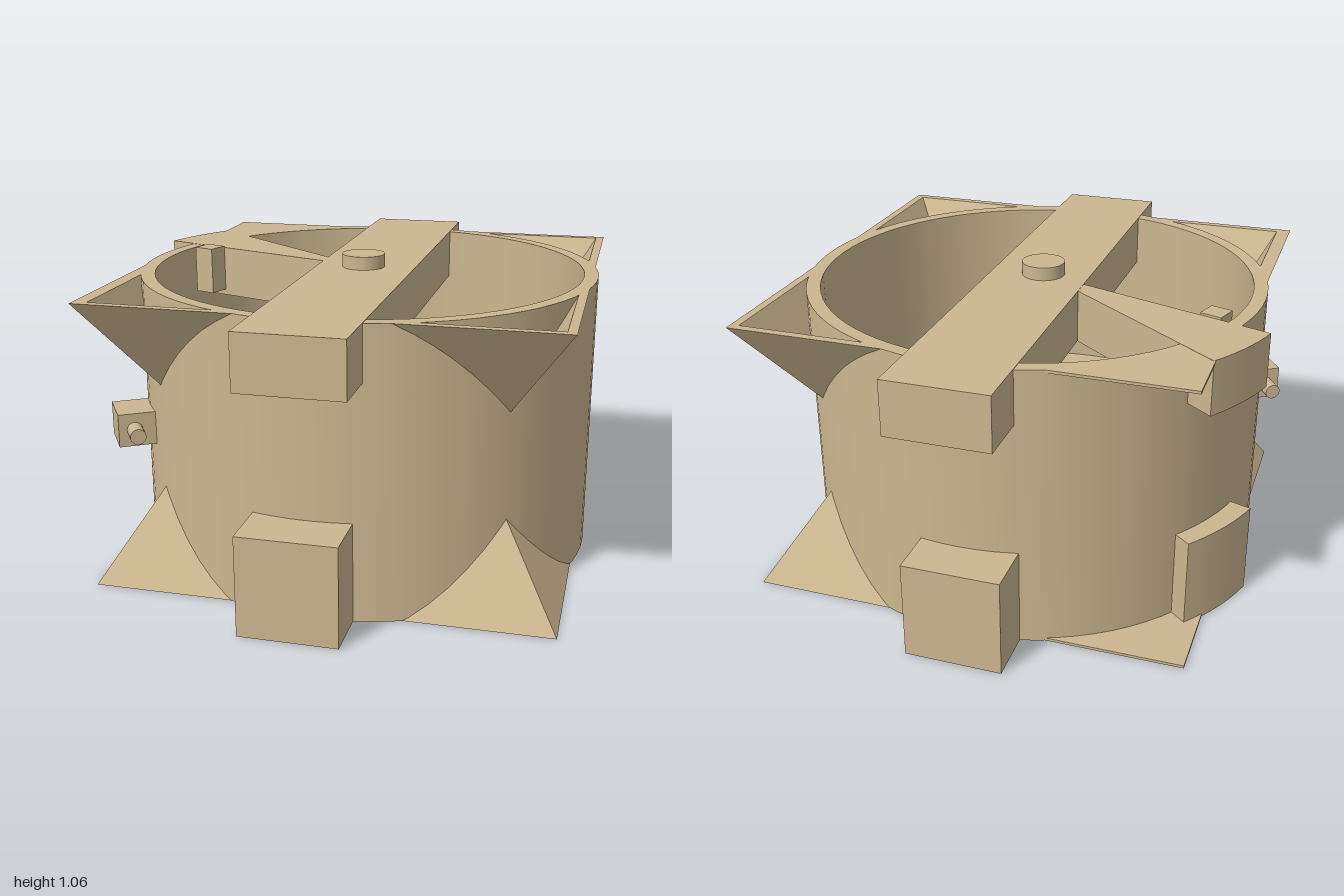
import * as THREE from 'three';
import { toCreasedNormals } from 'three/addons/utils/BufferGeometryUtils.js';

const tan = new THREE.MeshStandardMaterial({ color: 0xccb690, side: THREE.DoubleSide });
tan.name = 'tan';

const CX = 0.03, R_OUT = 0.83, R_IN = 0.78, H = 1.01;

function add(group, name, geometry, x = 0, y = 0, z = 0) {
  const mesh = new THREE.Mesh(geometry, tan);
  mesh.name = name;
  mesh.position.set(x, y, z);
  group.add(mesh);
  return mesh;
}

// Extrudes a plan-view shape (drawn as x, -z) upwards from y0 to y1
function rise(shape, y0, y1) {
  const g = new THREE.ExtrudeGeometry(shape, { depth: y1 - y0, bevelEnabled: false, curveSegments: 40 });
  g.rotateX(-Math.PI / 2);
  g.translate(0, y0, 0);
  return toCreasedNormals(g, 0.5);
}

const plan = (pts) => new THREE.Shape(pts.map(([x, z]) => new THREE.Vector2(x, -z)));

function box(group, name, x0, x1, y0, y1, z0, z1) {
  return add(group, name, new THREE.BoxGeometry(x1 - x0, y1 - y0, z1 - z0),
    (x0 + x1) / 2, (y0 + y1) / 2, (z0 + z1) / 2);
}

// Wedge arm with a curved outer end between two plan points
function wedge(inner, a, b) {
  const pts = [...inner];
  for (let i = 0; i <= 8; i++) {
    const t = i / 8;
    const ang = THREE.MathUtils.lerp(Math.atan2(a[1], a[0]), Math.atan2(b[1], b[0]), t);
    const r = THREE.MathUtils.lerp(Math.hypot(...a), Math.hypot(...b), t);
    pts.push([Math.cos(ang) * r, Math.sin(ang) * r]);
  }
  return plan(pts);
}

// Hollow half-pyramid: two sloping walls from a square corner to a tip on the drum
function cornerShell(cx, cz, rimY, tipY, insetX) {
  const sx = Math.sign(cx), sz = Math.sign(cz);
  const layer = (x, z, ty) => {
    const onX = CX + sx * Math.sqrt(0.828 ** 2 - z * z);
    const onZ = sz * Math.sqrt(0.828 ** 2 - (x - CX) ** 2);
    return {
      corner: [x, rimY, z], alongX: [onX, rimY, z], alongZ: [x, rimY, onZ],
      tip: [CX + sx * 0.6, ty, sz * 0.57],
    };
  };
  const o = layer(cx, cz, tipY);
  const n = layer(cx - sx * insetX, cz - sz * 0.03, tipY + Math.sign(rimY - tipY) * 0.04);
  const tris = [
    [o.corner, o.alongX, o.tip], [o.alongZ, o.corner, o.tip],
    [n.alongX, n.corner, n.tip], [n.corner, n.alongZ, n.tip],
    [o.corner, n.corner, n.alongX], [o.corner, n.alongX, o.alongX],
    [o.corner, o.alongZ, n.alongZ], [o.corner, n.alongZ, n.corner],
  ];
  // Keep outward winding on mirrored copies
  const flip = sx * sz * Math.sign(rimY - 0.5) < 0;
  const g = new THREE.BufferGeometry();
  g.setAttribute('position', new THREE.Float32BufferAttribute(
    tris.flatMap(([a, b, c]) => (flip ? [a, c, b] : [a, b, c])).flat(), 3));
  g.computeVertexNormals();
  return g;
}

export function createModel() {
  const model = new THREE.Group();
  model.name = 'drumFrame';

  // Open drum wall
  const ring = new THREE.Shape().absarc(CX, 0, R_OUT, 0, Math.PI * 2, false);
  ring.holes.push(new THREE.Path().absarc(CX, 0, R_IN, 0, Math.PI * 2, true));
  add(model, 'drumWall', rise(ring, 0, H));

  // Cross beams and centre knob
  box(model, 'upperBeam', -0.16, 0.2, 0.82, 1.012, -1, 1);
  box(model, 'lowerBeam', -0.17, 0.17, 0, 0.35, -0.99, 1);
  add(model, 'knob', new THREE.CylinderGeometry(0.078, 0.078, 0.06, 40), 0.01, 1.03, 0.01);

  // Third arms, widening outwards
  add(model, 'upperArm', rise(wedge([[-0.1, -0.075], [-0.1, -0.03]], [-0.86, -0.29], [-0.725, -0.56]), 0.82, 1.011));
  add(model, 'lowerArm', rise(wedge([[0.02, 0.02]], [-0.84, -0.26], [-0.68, -0.55]), 0, 0.33));

  // Hollow corners, top and bottom
  for (const [sx, sz] of [[1, 1], [1, -1], [-1, 1]]) {
    add(model, 'upperCorner', cornerShell(sx > 0 ? 0.84 : -0.78, sz * 0.79, H, 0.68, sx > 0 ? 0.03 : 0.05));
    add(model, 'lowerCorner', cornerShell(sx > 0 ? 0.83 : -0.76, sz * 0.775, 0, 0.31, 0.03));
  }

  // Flat plates on the remaining corner
  const plate = plan([[-0.73, -0.78], [-0.25, -0.78], [-0.4, -0.68], [-0.54, -0.56], [-0.66, -0.42], [-0.73, -0.3]]);
  add(model, 'upperCornerPlate', rise(plate, H - 0.01, H));
  add(model, 'lowerCornerPlate', rise(plate, 0, 0.01));

  // Small stop block beside the upper arm
  const stop = add(model, 'stopBlock', new THREE.BoxGeometry(0.08, 0.175, 0.08), -0.66, 0.93, -0.176);
  stop.rotation.y = -0.32;

  // Outer clamp with a cross pin
  const clamp = new THREE.Group();
  clamp.name = 'clamp';
  add(clamp, 'clampBlock', new THREE.BoxGeometry(0.14, 0.12, 0.16), 0.887);
  add(clamp, 'clampPin', new THREE.CylinderGeometry(0.028, 0.028, 0.32, 20), 0.9).rotation.x = Math.PI / 2;
  clamp.position.set(CX, 0.5, 0);
  clamp.rotation.y = -Math.atan2(0.51, -0.81);
  model.add(clamp);

  return model;
}
